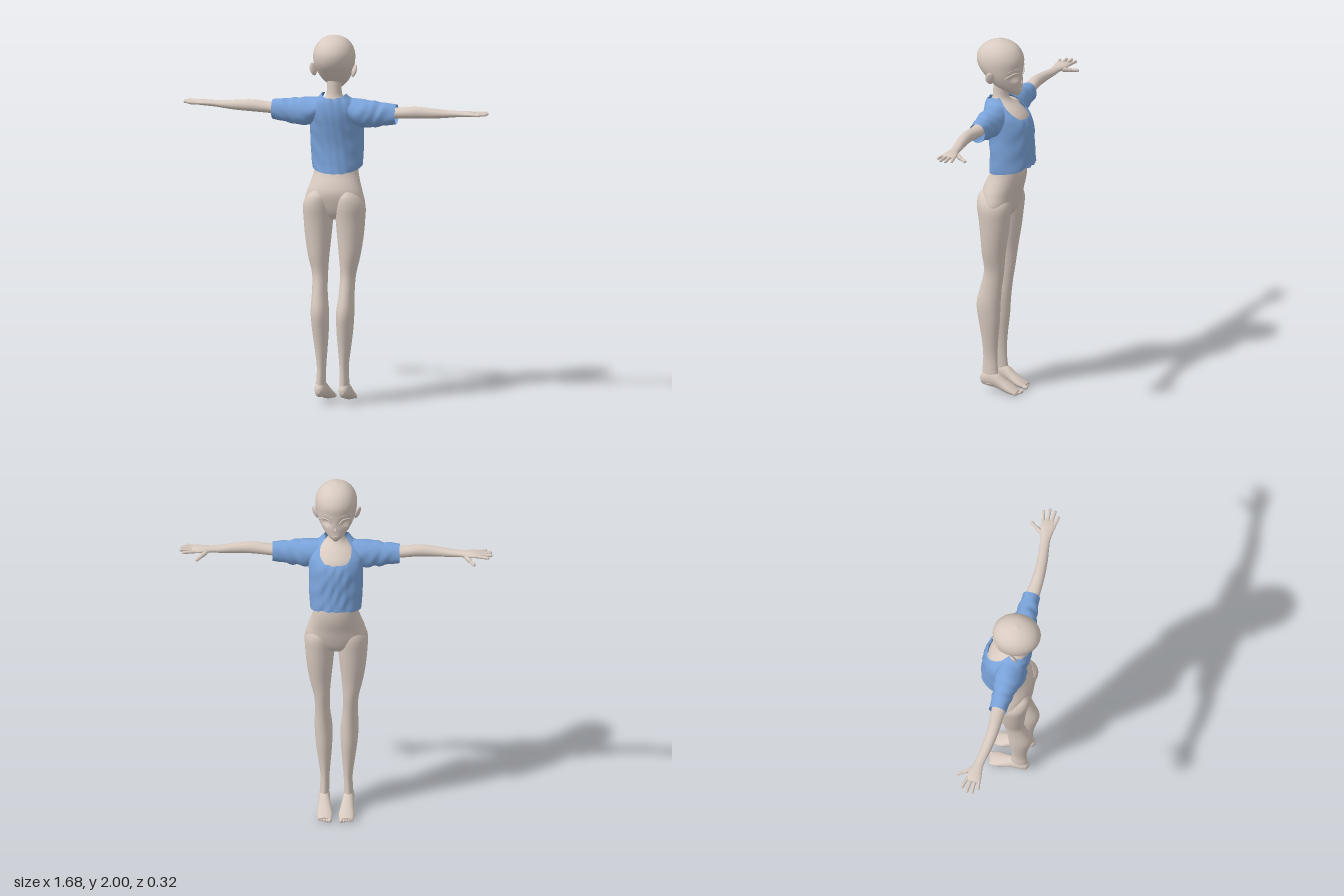
import * as THREE from 'three';

const skin = new THREE.MeshStandardMaterial({ color: 0xd8cac0 });
skin.name = 'skin';
const cloth = new THREE.MeshStandardMaterial({ color: 0x7aa3da, side: THREE.DoubleSide });
cloth.name = 'blue cloth';

// Smooth value of a section table at position s. A row is [position, centreA, minB, maxB, radiusA].
function sectionAt(rows, s) {
  let k = 0;
  while (k < rows.length - 2 && s > rows[k + 1][0]) k++;
  const p = rows[k], q = rows[k + 1], h = q[0] - p[0];
  const t = Math.min(1, Math.max(0, (s - p[0]) / h));
  const before = rows[Math.max(0, k - 1)], after = rows[Math.min(rows.length - 1, k + 2)];
  return p.map((v, i) => {
    const m0 = (q[i] - before[i]) / (q[0] - before[0]) * h;
    const m1 = (after[i] - v) / (after[0] - p[0]) * h;
    const t2 = t * t, t3 = t2 * t;
    return (2 * t3 - 3 * t2 + 1) * v + (t3 - 2 * t2 + t) * m0 + (3 * t2 - 2 * t3) * q[i] + (t3 - t2) * m1;
  });
}

// Elliptical sections swept along one axis, with optional per-angle ends and vertex edits.
function loft(axis, rows, { steps = 40, sides = 32, open = false, range, edit } = {}) {
  const pos = [], index = [];
  const put = (s, a, b) => {
    const p = axis === 'y' ? new THREE.Vector3(a, s, b)
      : axis === 'x' ? new THREE.Vector3(s, a, b) : new THREE.Vector3(a, b, s);
    if (edit) edit(p);
    pos.push(p.x, p.y, p.z);
  };
  const tri = (a, b, c) => (axis === 'y' ? index.push(a, b, c) : index.push(a, c, b));
  const ends = [rows[0][0], rows[rows.length - 1][0]];
  for (let i = 0; i <= steps; i++) {
    const v = (1 - Math.cos(Math.PI * i / steps)) / 2;
    for (let j = 0; j < sides; j++) {
      const angle = j / sides * Math.PI * 2;
      const [from, to] = range ? range(angle) : ends;
      const s = from + (to - from) * v;
      const [, ca, lo, hi, ra] = sectionAt(rows, s);
      put(s, ca + ra * Math.cos(angle), (lo + hi) / 2 + (hi - lo) / 2 * Math.sin(angle));
    }
  }
  for (let i = 0; i < steps; i++) for (let j = 0; j < sides; j++) {
    const a = i * sides + j, b = i * sides + (j + 1) % sides;
    tri(a, a + sides, b);
    tri(b, a + sides, b + sides);
  }
  if (!open) {
    const first = rows[0], last = rows[rows.length - 1], c = (steps + 1) * sides, top = steps * sides;
    put(first[0], first[1], (first[2] + first[3]) / 2);
    put(last[0], last[1], (last[2] + last[3]) / 2);
    for (let j = 0; j < sides; j++) {
      const n = (j + 1) % sides;
      tri(c, j, n);
      tri(c + 1, top + n, top + j);
    }
  }
  const g = new THREE.BufferGeometry();
  g.setAttribute('position', new THREE.Float32BufferAttribute(pos, 3));
  g.setIndex(index);
  g.computeVertexNormals();
  return g;
}

// Rounded rod between two points.
function rod(a, b, r) {
  const p = new THREE.Vector3(...a), q = new THREE.Vector3(...b), d = q.clone().sub(p);
  const g = new THREE.CapsuleGeometry(r, Math.max(0.001, d.length() - 2 * r), 5, 10);
  g.applyQuaternion(new THREE.Quaternion().setFromUnitVectors(new THREE.Vector3(0, 1, 0), d.normalize()));
  const m = p.add(q).multiplyScalar(0.5);
  return g.translate(m.x, m.y, m.z);
}

function ellipsoid(x, y, z, rx, ry, rz) {
  return new THREE.SphereGeometry(1, 20, 14).scale(rx, ry, rz).translate(x, y, z);
}

// Mirror across x and restore the winding.
function mirrored(g) {
  const m = g.clone().scale(-1, 1, 1), ix = m.index;
  for (let i = 0; i < ix.count; i += 3) {
    const t = ix.getX(i);
    ix.setX(i, ix.getX(i + 1));
    ix.setX(i + 1, t);
  }
  m.computeVertexNormals();
  return m;
}

const headRows = [
  [1.697, 0, -0.075, -0.045, 0.012], [1.72, 0, -0.088, 0.01, 0.04], [1.75, 0, -0.09, 0.065, 0.068],
  [1.8, 0, -0.092, 0.115, 0.095], [1.85, 0, -0.094, 0.152, 0.109], [1.9, 0, -0.096, 0.163, 0.111],
  [1.94, 0, -0.08, 0.149, 0.099], [1.97, 0, -0.052, 0.12, 0.076], [1.99, 0, -0.012, 0.08, 0.045],
  [2, 0, 0.03, 0.038, 0.004]];
const torsoRows = [
  [1.0, 0, -0.025, 0.06, 0.05], [1.03, 0, -0.05, 0.085, 0.12], [1.08, 0, -0.068, 0.105, 0.163],
  [1.15, 0, -0.085, 0.118, 0.15], [1.2, 0, -0.1, 0.102, 0.133], [1.25, 0, -0.108, 0.077, 0.12],
  [1.32, 0, -0.105, 0.065, 0.113], [1.4, 0, -0.1, 0.065, 0.115], [1.5, 0, -0.12, 0.085, 0.125],
  [1.57, 0, -0.115, 0.098, 0.13], [1.62, 0, -0.072, 0.095, 0.1], [1.65, 0, -0.033, 0.085, 0.062],
  [1.68, 0, -0.012, 0.075, 0.042], [1.77, 0, -0.01, 0.07, 0.04]];
const legRows = [
  [0.05, 0.066, 0.01, 0.112, 0.026], [0.12, 0.064, 0.02, 0.109, 0.025], [0.2, 0.062, 0.025, 0.105, 0.024],
  [0.3, 0.064, 0.02, 0.112, 0.034], [0.4, 0.067, 0.01, 0.127, 0.044], [0.5, 0.07, 0.005, 0.139, 0.048],
  [0.6, 0.074, -0.005, 0.115, 0.041], [0.7, 0.077, -0.02, 0.092, 0.042], [0.8, 0.085, -0.03, 0.1, 0.057],
  [0.9, 0.088, -0.045, 0.106, 0.07], [1.0, 0.088, -0.057, 0.115, 0.079], [1.08, 0.087, -0.064, 0.126, 0.081],
  [1.13, 0.082, -0.05, 0.122, 0.062], [1.16, 0.08, -0.01, 0.1, 0.03]];
const footRows = [
  [-0.095, 0.058, 0.004, 0.026, 0.036], [-0.06, 0.058, 0.003, 0.05, 0.042], [-0.02, 0.06, 0.012, 0.078, 0.037],
  [0.03, 0.064, 0.028, 0.115, 0.031], [0.08, 0.066, 0.035, 0.12, 0.029], [0.108, 0.066, 0.042, 0.105, 0.022],
  [0.12, 0.066, 0.06, 0.085, 0.008]];
const armRows = [
  [0.1, 1.585, -0.02, 0.07, 0.045], [0.25, 1.587, -0.015, 0.065, 0.035], [0.34, 1.588, -0.012, 0.063, 0.03],
  [0.45, 1.596, -0.002, 0.062, 0.032], [0.55, 1.594, -0.005, 0.052, 0.026], [0.62, 1.593, -0.014, 0.04, 0.02],
  [0.66, 1.594, -0.018, 0.034, 0.017], [0.7, 1.595, -0.03, 0.036, 0.016], [0.74, 1.596, -0.039, 0.042, 0.014],
  [0.77, 1.596, -0.035, 0.041, 0.009]];
const shirtRows = [
  [1.25, 0, -0.16, 0.085, 0.13], [1.3, 0, -0.16, 0.08, 0.138], [1.4, 0, -0.152, 0.08, 0.144],
  [1.5, 0, -0.147, 0.098, 0.145], [1.56, 0, -0.132, 0.11, 0.148], [1.6, 0, -0.1, 0.112, 0.145],
  [1.64, 0, -0.058, 0.107, 0.118], [1.67, 0, -0.025, 0.095, 0.078], [1.69, 0, -0.012, 0.088, 0.058]];
const sleeveRows = [
  [0.085, 1.598, -0.045, 0.09, 0.062], [0.14, 1.58, -0.05, 0.098, 0.075], [0.2, 1.577, -0.04, 0.088, 0.073],
  [0.27, 1.578, -0.03, 0.074, 0.063], [0.34, 1.581, -0.026, 0.066, 0.054]];

const smooth = THREE.MathUtils.smoothstep;
const faceZ = (x, y) => {
  const [, , front, back, rx] = sectionAt(headRows, y);
  return (front + back) / 2 - (back - front) / 2 * Math.sqrt(Math.max(0, 1 - (x / rx) ** 2));
};

// Shallow eye hollows in the face.
function hollowEyes(p) {
  if (p.z > 0) return;
  const d = ((Math.abs(p.x) - 0.05) / 0.024) ** 2 + ((p.y - 1.812) / 0.02) ** 2;
  p.z += 0.016 * Math.exp(-d);
}

// Soft creases in the cloth.
function creases(p) {
  const n = Math.sin(38 * p.y + 22 * p.x + 9 * Math.sin(14 * p.x)) * Math.sin(31 * p.z - 17 * p.x + 20 * p.y);
  p.z += 0.004 * n;
  p.y += 0.003 * n;
}

export function createModel() {
  const model = new THREE.Group();
  model.name = 'figure';
  const add = (name, geometry, material = skin) => {
    const mesh = new THREE.Mesh(geometry, material);
    mesh.name = name;
    model.add(mesh);
  };
  const pair = (name, geometry, material) => {
    add('left ' + name, geometry, material);
    add('right ' + name, mirrored(geometry), material);
  };

  // Head and face
  add('head', loft('y', headRows, { steps: 64, sides: 64, edit: hollowEyes }));
  add('nose', rod([0, 1.785, -0.085], [0, 1.764, -0.096], 0.007));
  add('mouth', ellipsoid(0, 1.735, -0.087, 0.016, 0.005, 0.004));
  pair('ear', ellipsoid(0, 0, 0, 0.011, 0.036, 0.024).rotateY(0.5).rotateZ(-0.3).translate(0.113, 1.812, 0.045));
  const lid = (points, r) => new THREE.TubeGeometry(new THREE.CatmullRomCurve3(
    points.map(([x, y]) => new THREE.Vector3(x, y, faceZ(x, y) - 0.001))), 20, r, 6);
  pair('upper eyelid', lid([[0.02, 1.812], [0.035, 1.832], [0.06, 1.836], [0.082, 1.822], [0.09, 1.81]], 0.004));
  pair('lower eyelid', lid([[0.03, 1.795], [0.05, 1.787], [0.07, 1.793]], 0.002));
  pair('brow', lid([[0.02, 1.85], [0.05, 1.86], [0.085, 1.848]], 0.002));

  // Body, legs and feet
  add('torso', loft('y', torsoRows, { steps: 60, sides: 48 }));
  pair('leg', loft('y', legRows, { steps: 60 }));
  pair('foot', loft('z', footRows));
  for (let i = 0; i < 5; i++) {
    const x = 0.031 + i * 0.0145, r = i ? 0.008 : 0.0115;
    pair('toe ' + (i + 1), rod([x, 0.016, -0.08], [x, r, -0.113 + i * 0.005], r));
  }

  // Arms and hands
  pair('arm', loft('x', armRows, { steps: 50 }));
  [[-0.028, 0.822, -0.046], [-0.008, 0.838, -0.014], [0.013, 0.834, 0.016], [0.032, 0.806, 0.043]]
    .forEach(([z0, x, z], i) => pair('finger ' + (i + 1), rod([0.745, 1.596, z0], [x, 1.597, z], 0.0085)));
  pair('thumb', rod([0.69, 1.59, -0.015], [0.725, 1.581, -0.062], 0.012));
  pair('thumb tip', rod([0.715, 1.583, -0.05], [0.746, 1.577, -0.095], 0.009));

  // Cropped shirt: hem lifts at the front, neckline scoops at the front
  const ends = (angle) => {
    const s = Math.sin(angle);
    const hem = 1.25 + 0.03 * (1 - s);
    return [hem, 1.683 - 0.11 * smooth(-s, 0.5, 1) - 0.02 * Math.max(0, s) ** 2];
  };
  add('shirt body', loft('y', shirtRows, { steps: 56, sides: 72, open: true, range: ends, edit: creases }), cloth);
  pair('shirt sleeve', loft('x', sleeveRows, { steps: 36, sides: 40, open: true, edit: creases }), cloth);
  return model;
}
